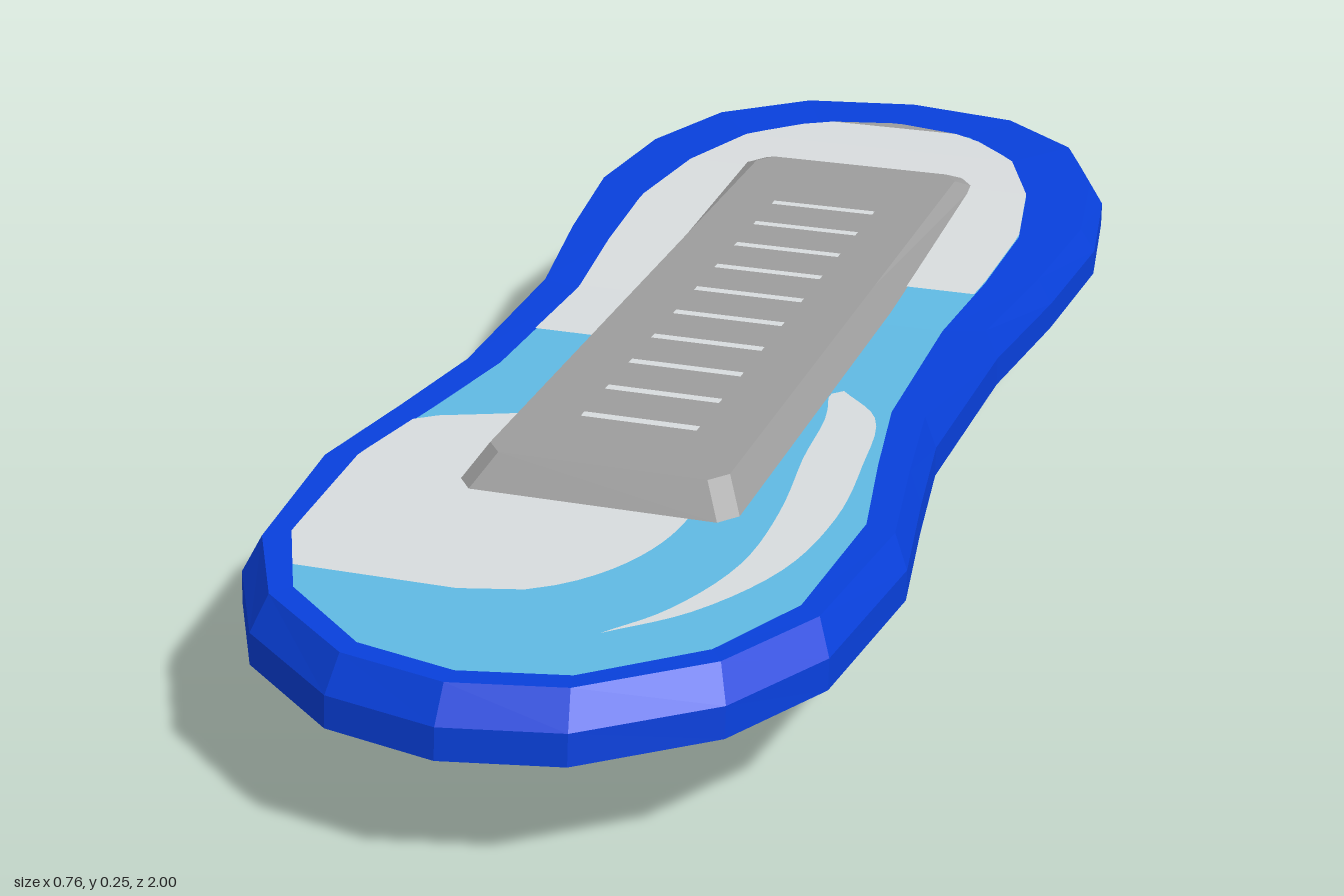
import * as THREE from 'three';

const mat = (name, color) => {
  const m = new THREE.MeshStandardMaterial({ color });
  m.name = name;
  return m;
};

// right half of the board outline, back to front: [x, z]
const OUTLINE = [[0, -1], [0.17, -0.97], [0.29, -0.87], [0.355, -0.73], [0.38, -0.56], [0.36, -0.37], [0.33, -0.18],
  [0.325, 0.13], [0.35, 0.3], [0.38, 0.48], [0.355, 0.72], [0.28, 0.86], [0.14, 0.97], [0, 1]];

// the tail kicks up behind z = -0.2
const lift = z => 0.031 * THREE.MathUtils.clamp((-0.2 - z) / 0.65, 0, 1);

// half ring scaled from the outline; width scale runs from back to front
const halfRing = (sBack, sFront, zBack, zFront, y, kick) => OUTLINE.map(([x, z]) => {
  const s = THREE.MathUtils.lerp(sBack, sFront, (z + 1) / 2);
  return [x * s, y + kick * lift(z), z < 0 ? -z * zBack : z * zFront];
});

const mirrorRing = half => half.concat(
  half.filter(p => p[0] > 0).map(([x, y, z]) => [-x, y, z]).reverse());

function build(triangles) {
  const g = new THREE.BufferGeometry();
  g.setAttribute('position', new THREE.Float32BufferAttribute(triangles.flat(2), 3));
  g.computeVertexNormals();
  return g;
}

// walls between stacked half rings, lowest first
function loft(halves) {
  const rings = halves.map(mirrorRing), t = [];
  for (let k = 0; k + 1 < rings.length; k++) {
    const a = rings[k], b = rings[k + 1], n = a.length;
    for (let i = 0; i < n; i++) {
      const j = (i + 1) % n;
      t.push([a[i], b[j], a[j]], [a[i], b[i], b[j]]);
    }
  }
  return build(t);
}

// surface through rows [z, x0, x1, y]
function plate(rows, down = false) {
  const t = [];
  for (let i = 0; i + 1 < rows.length; i++) {
    const [z, a, b, y] = rows[i], [w, c, d, v] = rows[i + 1];
    const p0 = [a, y, z], p1 = [b, y, z], q0 = [c, v, w], q1 = [d, v, w];
    t.push(...(down ? [[p0, p1, q0], [p1, q1, q0]] : [[p0, q0, p1], [p1, q0, q1]]));
  }
  return build(t);
}

const capRows = half => half.map(([x, y, z]) => [z, -x, x, y]);

export function createModel() {
  const blue = mat('blue', 0x0840dc), grey = mat('grey', 0x9d9d9d);
  const pale = mat('pale grey', 0xd8dcde), cyan = mat('sky blue', 0x60bae4);
  const dullCyan = mat('dull blue', 0x94b9ca), yellow = mat('yellow', 0xd8d414);
  const group = new THREE.Group();
  const add = (name, geometry, material) => {
    const m = new THREE.Mesh(geometry, material);
    m.name = name;
    group.add(m);
  };

  // hull
  const bottom = halfRing(0.64, 0.64, -0.73, 0.83, 0.055, 0);
  const seam = halfRing(0.75, 0.75, -0.8, 0.89, 0.09, 0);
  const deck = halfRing(0.7, 0.9, -0.89, 0.935, 0.216, 0.95);
  add('basePlate', loft([bottom, seam]), pale);
  add('baseUnderside', plate(capRows(bottom), true), pale);
  add('hull', loft([seam,
    halfRing(1, 1, -1, 1, 0.14, 1.5),
    halfRing(1, 1, -1, 0.995, 0.178, 1.3),
    halfRing(0.95, 0.95, -0.985, 0.965, 0.217, 1),
    deck]), blue);

  // deck with pale painted areas
  add('deck', plate(capRows(deck)), cyan);
  const deckAt = z => {
    const i = Math.max(1, deck.findIndex(p => p[2] >= z));
    const a = deck[i - 1], b = deck[i], f = (z - a[2]) / (b[2] - a[2]);
    return [THREE.MathUtils.lerp(a[0], b[0], f), THREE.MathUtils.lerp(a[1], b[1], f) + 0.002];
  };
  // edges(z, halfWidth) gives [x0, x1]
  const paint = (name, z0, z1, edges, material = pale, n = 24) => {
    const rows = [];
    for (let i = 0; i <= n; i++) {
      const z = THREE.MathUtils.lerp(z0, z1, i / n), [w, y] = deckAt(z);
      rows.push([z, ...edges(z, w), y]);
    }
    add(name, plate(rows), material);
  };
  paint('tailTip', -0.888, -0.868, (z, w) => [-w, w], grey, 2);
  paint('tailPaint', -0.868, -0.285, (z, w) => [-w, w]);
  paint('tailPaintSide', -0.285, 0, (z, w) => [-w, 0]);
  paint('nosePaint', 0.27, 0.755, (z, w) => {
    const reach = Math.max(0, (z - 0.5) / 0.255);
    return [-w * Math.min(1, 0.6 + 8 * (z - 0.27)), -0.07 + 0.19 * Math.sqrt(Math.max(0, 1 - reach * reach))];
  });
  const outer = new THREE.CatmullRomCurve3([[0.19, 0.08], [0.25, 0.15], [0.275, 0.3], [0.285, 0.45], [0.265, 0.6], [0.2, 0.73], [0.12, 0.81]]
    .map(([x, z]) => new THREE.Vector3(x, 0, z))).getPoints(30);
  add('noseStreak', plate(outer.map((p, i) => {
    const [w, y] = deckAt(p.z), x = Math.min(p.x, w);
    return [p.z, x - 0.075 * Math.sin(Math.PI * (i / 30) ** 0.65), x, y];
  })), pale);

  // bevelled foot pad, its lower edge following the deck
  const padRing = (hx, zb, zf, yAt) => [[hx - 0.02, zb], [hx, zb + 0.025], [hx, -0.2], [hx, zf - 0.025], [hx - 0.02, zf]]
    .map(([x, z]) => [x, yAt(z), z]);
  const padTop = padRing(0.152, -0.668, 0.465, () => 0.253);
  add('footPad', loft([padRing(0.176, -0.69, 0.503, z => 0.218 + lift(z)), padTop]), grey);
  add('footPadTop', plate(capRows(padTop)), grey);
  for (let i = 0; i < 10; i++) {
    const z = -0.475 + i * 0.089;
    add('gripLine', plate([[z - 0.007, -0.075, 0.075, 0.2534], [z + 0.007, -0.075, 0.075, 0.2534]]), pale);
  }

  // painted underside: round nose patch and waist band
  const disc = (name, rx, rz, z, y, material) => {
    const g = new THREE.CircleGeometry(1, 28).rotateX(Math.PI / 2).scale(rx, 1, rz).translate(0, y, z);
    add(name, g, material);
  };
  disc('nosePatch', 0.205, 0.27, 0.53, 0.052, cyan);
  add('waistPatch', plate([[-0.06, -0.16, 0.16, 0.0535], [0.13, -0.18, 0.18, 0.0535],
    [0.3, -0.2, 0.2, 0.0535], [0.4, -0.19, 0.19, 0.0535]], true), dullCyan);

  // slanted six-sided thrusters
  for (const [z, r, depth] of [[0.525, 0.1, 0.055], [-0.195, 0.079, 0.043], [-0.475, 0.079, 0.043]]) {
    if (z < 0) disc('thrusterRing', 0.115, 0.115, z - 0.01, 0.0515, grey);
    let g = new THREE.CylinderGeometry(r * 1.2, r, 1, 6, 1, false, Math.PI / 6);
    const p = g.attributes.position;
    for (let i = 0; i < p.count; i++) {
      const slope = 0.5 - p.getZ(i) / (1.732 * r);
      p.setY(i, p.getY(i) > 0 ? 0.056 : 0.055 - depth + slope * (depth - 0.019));
    }
    const groups = g.groups;
    g = g.toNonIndexed();
    groups.forEach(s => g.addGroup(s.start, s.count, s.materialIndex));
    g.computeVertexNormals();
    g.translate(0, 0, z);
    add('thruster', g, [yellow, grey, grey]);
  }
  return group;
}
